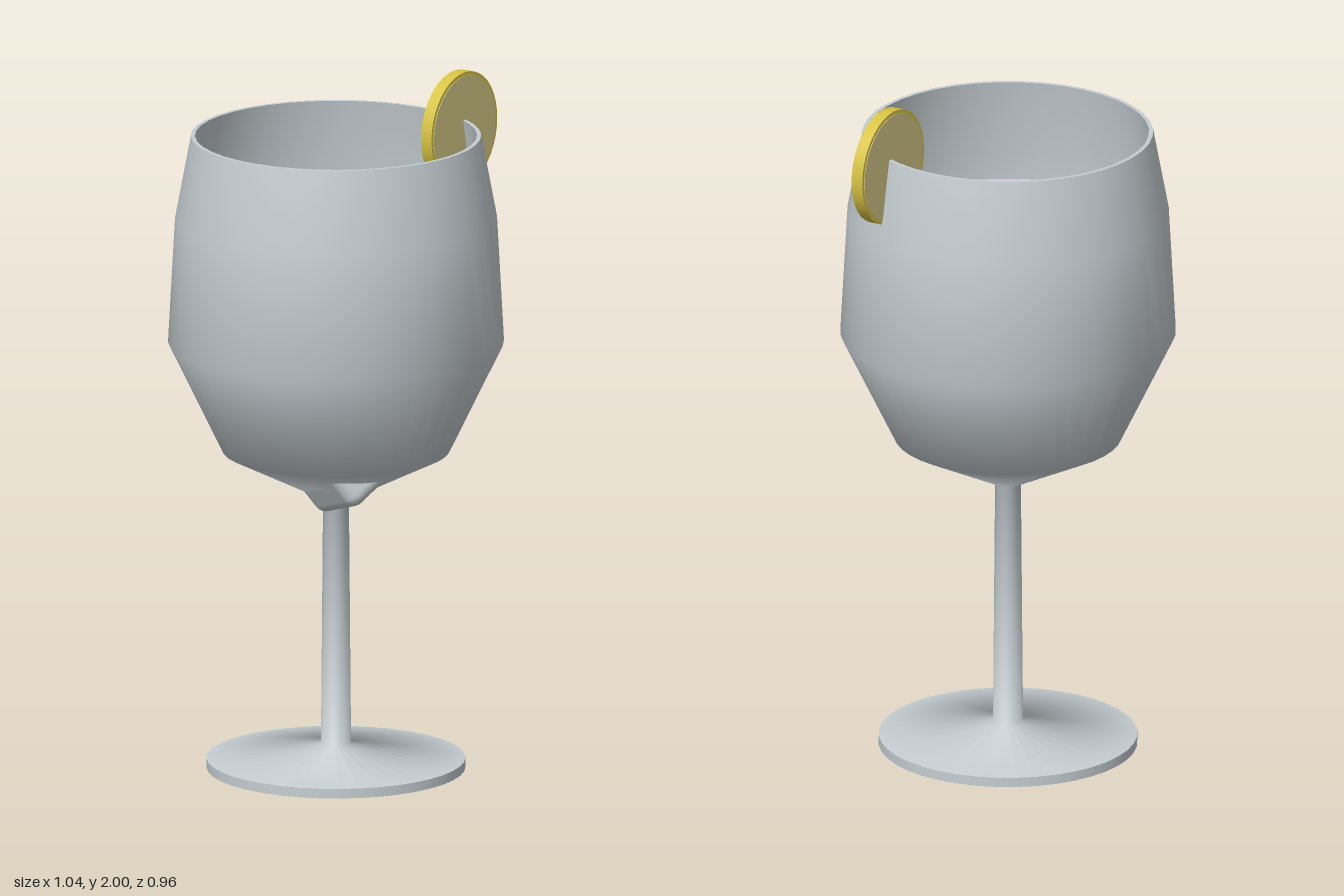
import * as THREE from 'three';
import { RoundedBoxGeometry } from 'three/addons/geometries/RoundedBoxGeometry.js';

function material(name, color) {
  const m = new THREE.MeshStandardMaterial({ color });
  m.name = name;
  return m;
}

function mesh(name, geometry, mat) {
  const m = new THREE.Mesh(geometry, mat);
  m.name = name;
  return m;
}

// Turned form; a repeated point makes a sharp edge
function lathe(points) {
  return new THREE.LatheGeometry(points.map(([r, y]) => new THREE.Vector2(r, y)), 40);
}

// Rounded cube placed by one corner and two of the edges leaving it
function iceCube(name, mat, corner, edgeA, edgeB, size) {
  const a = new THREE.Vector3(...edgeA).normalize();
  const c = a.clone().cross(new THREE.Vector3(...edgeB)).normalize();
  const b = c.clone().cross(a);
  const cube = mesh(name, new RoundedBoxGeometry(size, size, size, 4, 0.035), mat);
  cube.quaternion.setFromRotationMatrix(new THREE.Matrix4().makeBasis(a, b, c));
  cube.position.set(...corner).addScaledVector(a.add(b).add(c), size / 2);
  return cube;
}

export function createModel() {
  const glassMat = material('glass grey', 0xc6ced2);
  const liquidMat = material('pale lilac liquid', 0xd2c8de);
  const iceMat = material('ice grey', 0xc8d0d2);
  const rindMat = material('lemon rind', 0xd8c444);
  const fleshMat = material('lemon flesh', 0xd6ca88);

  const model = new THREE.Group();
  model.name = 'drinkingGlass';

  const glass = new THREE.Group();
  glass.name = 'glassWithDrink';
  glass.position.x = -0.04;
  model.add(glass);

  // Foot, stem and thin-walled bowl in one profile
  glass.add(mesh('stemmedGlass', lathe([
    [0, 0], [0.37, 0], [0.37, 0], [0.37, 0.028], [0.37, 0.028],
    [0.043, 0.075], [0.037, 0.79],
    [0.325, 0.935], [0.48, 1.255], [0.46, 1.62], [0.415, 1.86], [0.415, 1.86],
    [0.403, 1.86], [0.403, 1.86],
    [0.447, 1.62], [0.467, 1.255], [0.315, 0.945], [0, 0.81],
  ]), glassMat));

  // Drink filling the bowl
  glass.add(mesh('liquid', lathe([
    [0, 0.82], [0.31, 0.955], [0.462, 1.255], [0.447, 1.55], [0.447, 1.55], [0, 1.55],
  ]), liquidMat));

  // Ice: one corner breaks the surface, another pokes through the bowl
  model.add(iceCube('upperIceCube', iceMat, [-0.07, 1.64, 0.13],
    [0.925, -0.38, 0], [-0.14, -0.33, 0.93], 0.27));
  model.add(iceCube('lowerIceCube', iceMat, [-0.11, 0.75, 0.03],
    [0, 0.3, 0.95], [0.84, 0.52, -0.16], 0.24));

  // Lemon slice on the rim
  const lemon = new THREE.Group();
  lemon.name = 'lemonSlice';
  lemon.position.set(0.36, 1.832, 0);
  lemon.rotation.y = 0.48;
  const rind = new THREE.CylinderGeometry(0.168, 0.168, 0.036, 40).rotateX(Math.PI / 2);
  lemon.add(mesh('rind', rind, rindMat));
  for (const side of [1, -1]) {
    const flesh = mesh('flesh', new THREE.CylinderGeometry(0.158, 0.158, 0.004, 40).rotateX(Math.PI / 2), fleshMat);
    flesh.position.z = side * 0.018;
    lemon.add(flesh);
  }
  model.add(lemon);

  return model;
}
